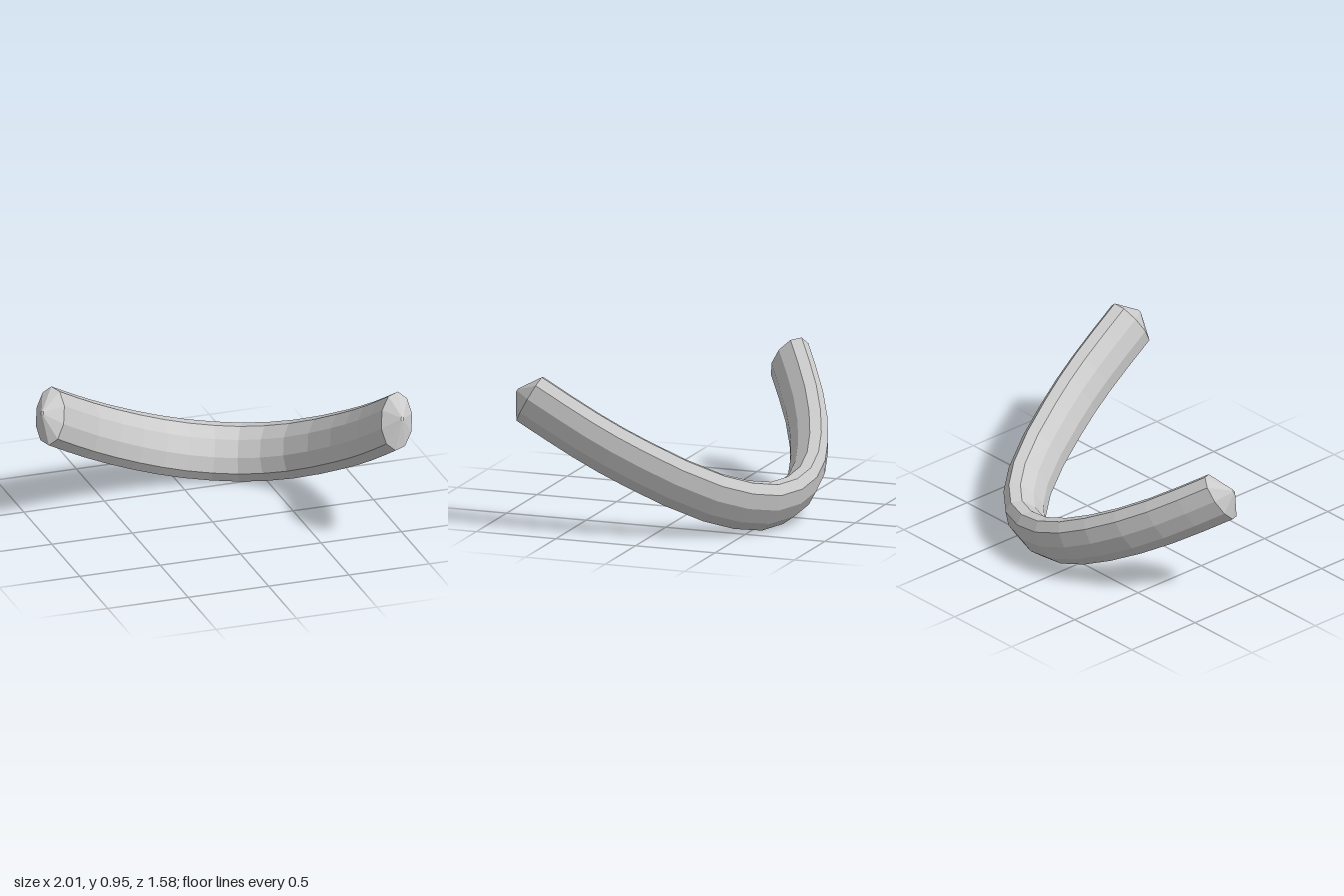
import * as THREE from 'three';

const SIDES = 10, SEGMENTS = 16;
const HALF_HEIGHT = 0.176, HALF_WIDTH = 0.1;
const CAP_HEIGHT = 0.09, TIP_SCALE = 0.09;

// The bar bends within one tilted plane; its oval section stands along the plane's normal
const normal = new THREE.Vector3(0.22, 0.83, -0.51).normalize();
const lowest = new THREE.Vector3(0.32, 0.165, -0.64);

// Lifts a plan position (x, z) onto the tilted plane
function onPlane([x, z]) {
  const y = lowest.y - (normal.x * (x - lowest.x) + normal.z * (z - lowest.z)) / normal.y;
  return new THREE.Vector3(x, y, z);
}

// Skins oval rings { centre, tangent, scale } from end to end
function skinRings(rings) {
  const positions = [], index = [];
  rings.forEach(({ centre, tangent, scale }, i) => {
    const side = new THREE.Vector3().crossVectors(tangent, normal).normalize();
    for (let j = 0; j < SIDES; j++) {
      const a = (j / SIDES) * Math.PI * 2;
      const p = centre.clone()
        .addScaledVector(normal, HALF_HEIGHT * scale * Math.cos(a))
        .addScaledVector(side, HALF_WIDTH * scale * Math.sin(a));
      positions.push(p.x, p.y, p.z);
      if (i === 0) continue;
      const k = (j + 1) % SIDES, lo = (i - 1) * SIDES, hi = i * SIDES;
      index.push(lo + j, lo + k, hi + k, lo + j, hi + k, hi + j);
    }
  });
  const geometry = new THREE.BufferGeometry();
  geometry.setAttribute('position', new THREE.Float32BufferAttribute(positions, 3));
  geometry.setIndex(index);
  geometry.computeVertexNormals();
  return geometry;
}

export function createModel() {
  const group = new THREE.Group();
  group.name = 'curvedBar';

  // Centre line in plan, from the right end round the bend to the left end
  const path = new THREE.CatmullRomCurve3([
    [-0.925, -0.235], [-0.63, -0.44], [-0.28, -0.605], [0.06, -0.67], [0.385, -0.59],
    [0.63, -0.345], [0.8, 0.06], [0.87, 0.36], [0.905, 0.7],
  ].map(onPlane));

  const body = [];
  for (let i = 0; i <= SEGMENTS; i++) {
    const t = i / SEGMENTS;
    body.push({ centre: path.getPoint(t), tangent: path.getTangent(t), scale: 1 });
  }

  // Blunt cone at each end, closed by a tiny flat tip
  const tip = (ring, direction, scale) => ({
    centre: ring.centre.clone().addScaledVector(ring.tangent, direction * CAP_HEIGHT),
    tangent: ring.tangent,
    scale,
  });
  const first = body[0], last = body[SEGMENTS];
  const geometry = skinRings([
    tip(first, -1, 0), tip(first, -1, TIP_SCALE),
    ...body,
    tip(last, 1, TIP_SCALE), tip(last, 1, 0),
  ]);

  // Centre the bar and stand it on the ground
  geometry.computeBoundingBox();
  const box = geometry.boundingBox, middle = box.getCenter(new THREE.Vector3());
  geometry.translate(-middle.x, -box.min.y, -middle.z);

  const bar = new THREE.Mesh(geometry, new THREE.MeshStandardMaterial({ color: 0xcccccc, flatShading: true }));
  bar.name = 'bentBar';
  group.add(bar);
  return group;
}
